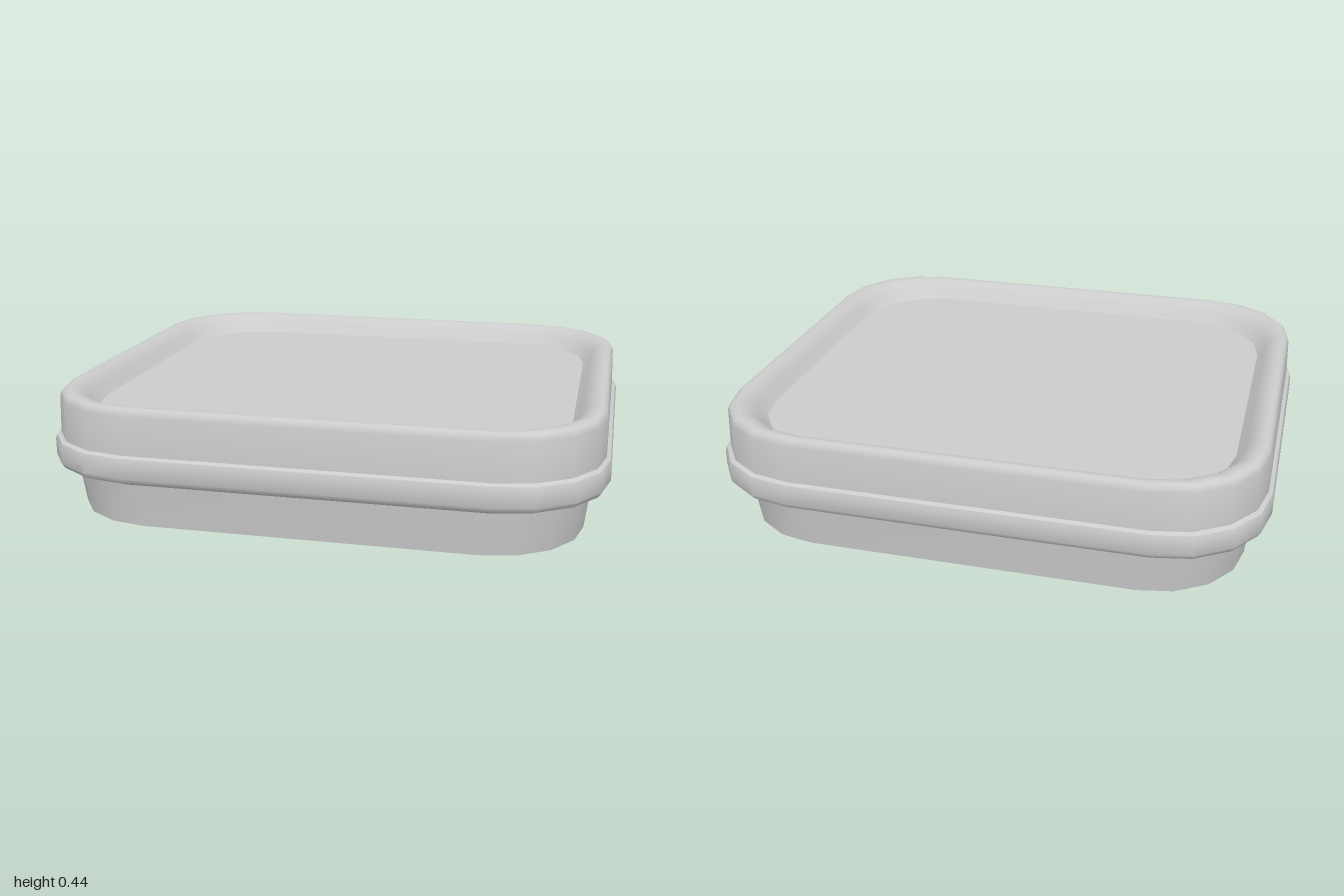
import * as THREE from 'three';
import { toCreasedNormals } from 'three/addons/utils/BufferGeometryUtils.js';

const HALF_X = 1, HALF_Z = 0.887, RADIUS = 0.36, CORNER_STEPS = 4;

// Rounded rectangle outline in x/z, running from +x towards +z
function outline() {
  const pts = [];
  const corners = [[1, 1], [-1, 1], [-1, -1], [1, -1]];
  corners.forEach(([sx, sz], c) => {
    for (let k = 0; k <= CORNER_STEPS; k++) {
      const a = (c + k / CORNER_STEPS) * Math.PI / 2;
      pts.push([
        sx * (HALF_X - RADIUS) + RADIUS * Math.cos(a),
        sz * (HALF_Z - RADIUS) + RADIUS * Math.sin(a),
      ]);
    }
  });
  return pts;
}

// Sweeps a [scale, height] profile around the outline; scale 0 closes an end
function loft(profile) {
  const ring = outline(), n = ring.length;
  const positions = [], index = [];
  for (const [s, y] of profile) {
    for (const [x, z] of ring) positions.push(x * s, y, z * s);
  }
  for (let i = 0; i < profile.length - 1; i++) {
    for (let j = 0; j < n; j++) {
      const k = (j + 1) % n;
      const a = i * n + j, b = i * n + k, c = a + n, d = b + n;
      if (profile[i][0] > 0) index.push(a, c, b);
      if (profile[i + 1][0] > 0) index.push(b, c, d);
    }
  }
  const geometry = new THREE.BufferGeometry();
  geometry.setAttribute('position', new THREE.Float32BufferAttribute(positions, 3));
  geometry.setIndex(index);
  return toCreasedNormals(geometry, THREE.MathUtils.degToRad(38));
}

export function createModel() {
  const group = new THREE.Group();
  group.name = 'foodContainer';
  const material = new THREE.MeshStandardMaterial({ color: 0xcccccc });

  const add = (name, profile) => {
    const mesh = new THREE.Mesh(loft(profile), material);
    mesh.name = name;
    group.add(mesh);
  };

  // Tapered tub, its top hidden inside the lid
  add('tub', [[0, 0], [0.916, 0], [0.938, 0.17], [0, 0.17]]);

  // Lid: bulging lower band, upright wall, rolled rim and recessed panel
  add('lid', [
    [0, 0.16], [0.935, 0.16], [0.965, 0.166], [0.99, 0.178], [1, 0.195],
    [1, 0.25], [0.995, 0.266], [0.982, 0.274],
    [0.978, 0.41], [0.973, 0.427], [0.963, 0.436], [0.95, 0.439],
    [0.93, 0.435], [0.91, 0.423], [0.89, 0.402], [0.872, 0.378], [0.86, 0.365],
    [0, 0.365],
  ]);

  return group;
}
